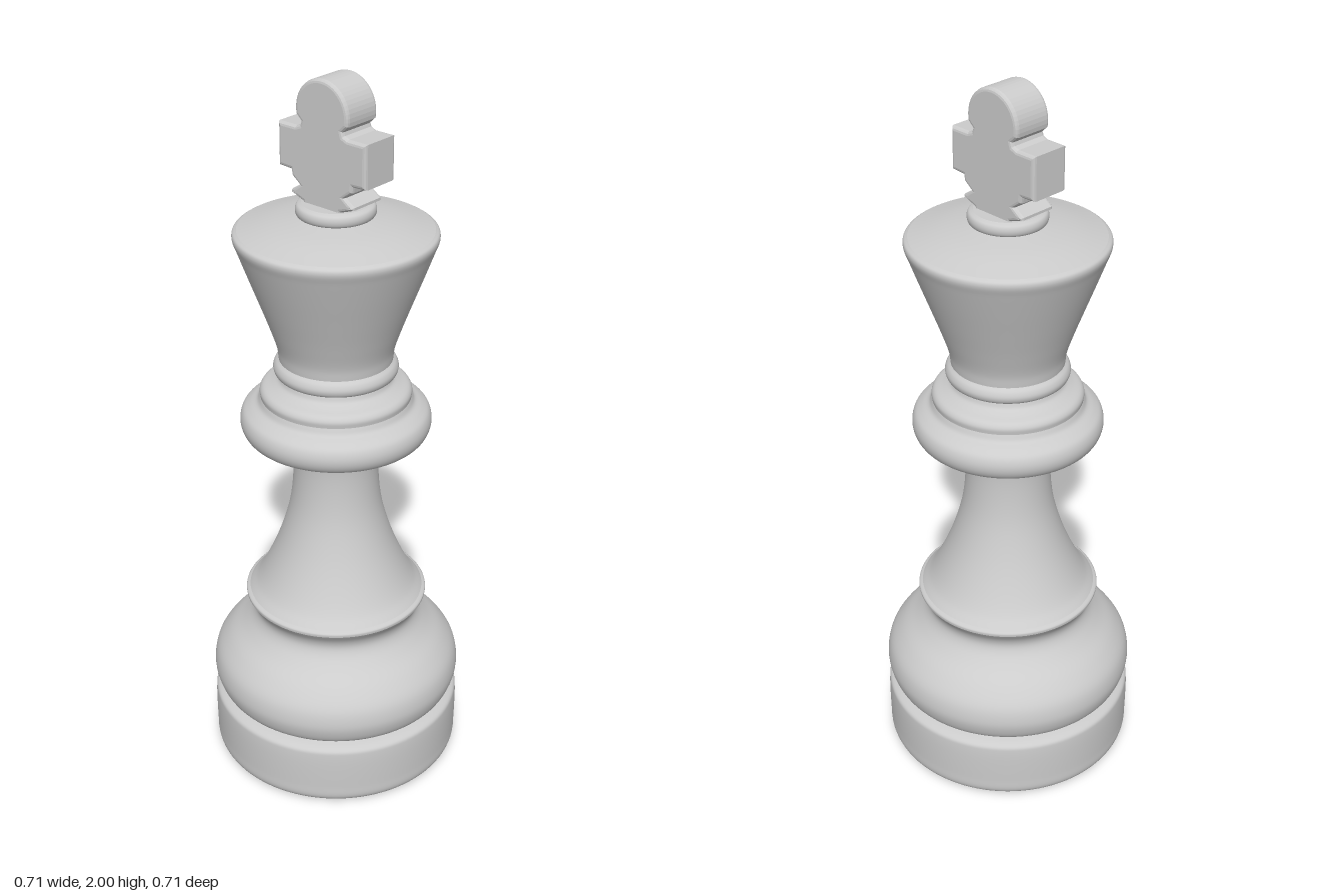
import * as THREE from 'three';

const material = new THREE.MeshStandardMaterial({ color: 0xcccccc });

// Turned part: a smooth curve through [radius, height] points, from bottom to top
function turned(name, points, samples = 28) {
  const curve = new THREE.CatmullRomCurve3(
    points.map(([r, y]) => new THREE.Vector3(r, y, 0)), false, 'centripetal');
  const profile = curve.getPoints(samples).map(p => new THREE.Vector2(Math.max(p.x, 0), p.y));
  const mesh = new THREE.Mesh(new THREE.LatheGeometry(profile, 96), material);
  mesh.name = name;
  return mesh;
}

// Flat or conical face between two rings
function ringFace(name, from, to) {
  const profile = [from, to].map(([r, y]) => new THREE.Vector2(r, y));
  const mesh = new THREE.Mesh(new THREE.LatheGeometry(profile, 96), material);
  mesh.name = name;
  return mesh;
}

// Finial silhouette, mirrored about its middle
function finial() {
  const half = [
    [0.06, 1.66], [0.063, 1.675], [0.104, 1.69], [0.104, 1.697], [0.075, 1.716],
    [0.1, 1.734], [0.103, 1.75], [0.144, 1.752], [0.144, 1.867],
    [0.085, 1.867], [0.071, 1.873], [0.068, 1.882],
  ];
  const cy = 1.914, radius = 0.086;
  for (let i = 0; i <= 14; i++) {
    const a = THREE.MathUtils.lerp(-0.2, Math.PI / 2, i / 14);
    half.push([radius * Math.cos(a), cy + radius * Math.sin(a)]);
  }
  const mirrored = half.slice(0, -1).reverse().map(([z, y]) => [-z, y]);
  const shape = new THREE.Shape([...half, ...mirrored].map(([z, y]) => new THREE.Vector2(z, y)));
  const bevel = 0.01, thickness = 0.114;
  const geometry = new THREE.ExtrudeGeometry(shape, {
    depth: thickness - 2 * bevel, bevelEnabled: true, bevelThickness: bevel,
    bevelSize: bevel, bevelOffset: -bevel, bevelSegments: 3,
  });
  geometry.translate(0, 0, -thickness / 2 + bevel);
  geometry.rotateY(Math.PI / 2);
  const mesh = new THREE.Mesh(geometry, material);
  mesh.name = 'finial';
  return mesh;
}

export function createModel() {
  const group = new THREE.Group();
  group.name = 'chessPiece';
  group.add(
    // Plinth with softened rims
    ringFace('plinthBottom', [0, 0], [0.325, 0.002]),
    turned('plinth', [[0.325, 0.002], [0.342, 0.008], [0.351, 0.022], [0.353, 0.06],
      [0.353, 0.165], [0.35, 0.182], [0.338, 0.191], [0.318, 0.198]], 40),
    // Bulging foot rising to a lipped ring
    turned('foot', [[0.318, 0.198], [0.338, 0.215], [0.35, 0.245], [0.353, 0.275], [0.343, 0.318],
      [0.31, 0.362], [0.265, 0.402], [0.24, 0.432], [0.232, 0.455], [0.236, 0.477], [0.255, 0.507]], 48),
    turned('footLip', [[0.255, 0.507], [0.255, 0.516], [0.245, 0.522]], 6),
    // Waisted stem
    turned('stem', [[0.245, 0.522], [0.222, 0.55], [0.19, 0.61], [0.154, 0.7],
      [0.127, 0.8], [0.117, 0.9], [0.12, 0.97], [0.132, 1.016]], 36),
    // Collar and stepped shoulder
    ringFace('collarUnderside', [0.125, 1.012], [0.225, 1.016]),
    turned('collar', [[0.225, 1.016], [0.245, 1.026], [0.256, 1.045], [0.258, 1.068], [0.25, 1.09],
      [0.232, 1.104], [0.212, 1.115], [0.203, 1.132]], 32),
    turned('collarStep', [[0.203, 1.132], [0.204, 1.148], [0.196, 1.16], [0.172, 1.17],
      [0.155, 1.18], [0.148, 1.195]], 24),
    // Bead under the crown
    turned('bead', [[0.148, 1.195], [0.162, 1.202], [0.167, 1.217], [0.162, 1.232], [0.152, 1.242]], 20),
    // Flared crown with a shallow conical top
    turned('crown', [[0.152, 1.242], [0.156, 1.275], [0.175, 1.335], [0.203, 1.412],
      [0.232, 1.49], [0.256, 1.556], [0.266, 1.585], [0.264, 1.597], [0.254, 1.604]], 44),
    turned('crownTop', [[0.254, 1.604], [0.17, 1.626], [0.088, 1.64]], 12),
    // Small ring carrying the finial
    turned('topRing', [[0.088, 1.638], [0.1, 1.643], [0.104, 1.656], [0.1, 1.669], [0.088, 1.675]], 20),
    ringFace('topRingCap', [0.088, 1.675], [0, 1.676]),
    finial(),
  );
  return group;
}
